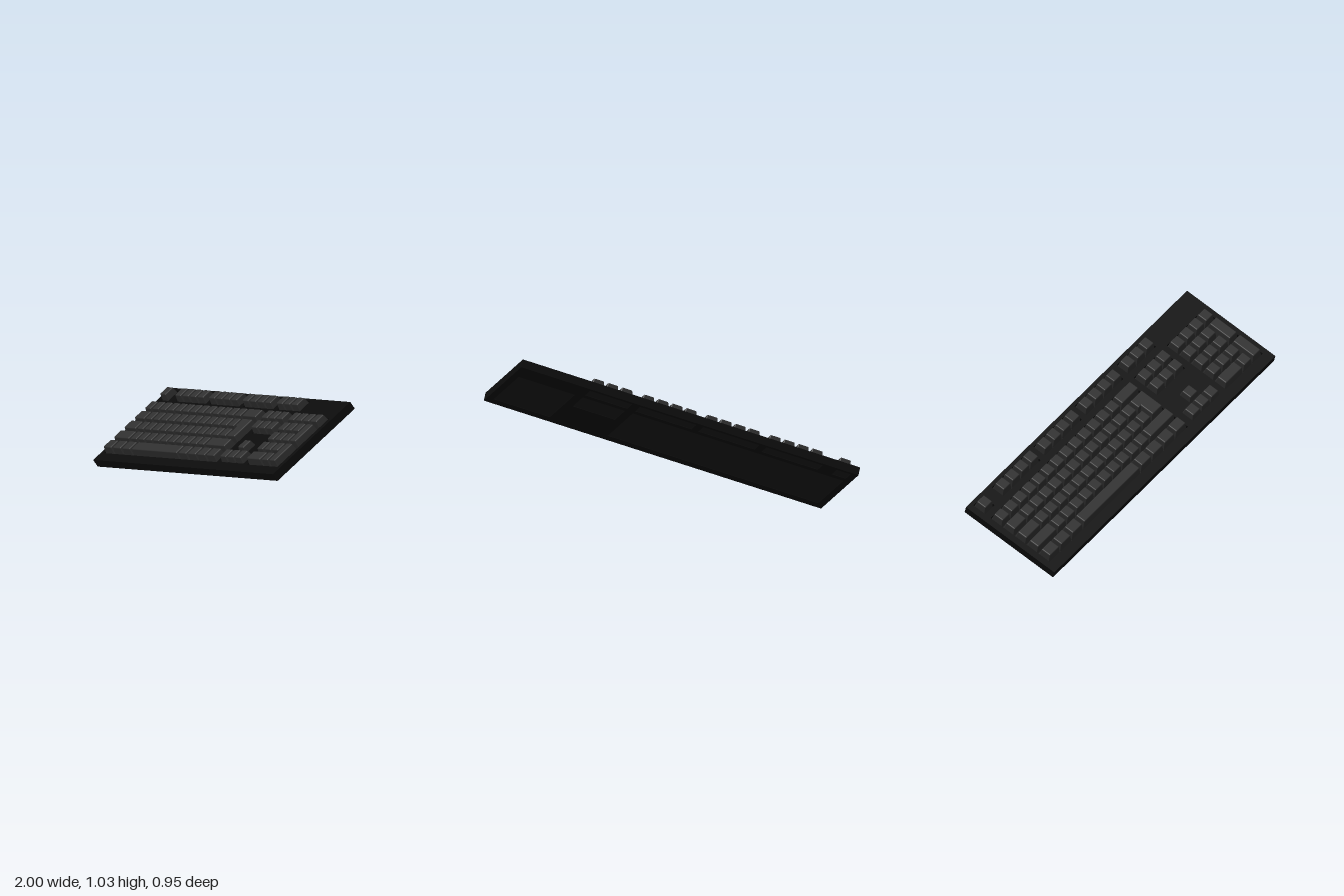
import * as THREE from 'three';
import { RoundedBoxGeometry } from 'three/addons/geometries/RoundedBoxGeometry.js';

const U = 0.0885;                          // key pitch
const LENGTH = 2.126, DEPTH = 0.66, THICK = 0.05;
const MAIN = -1.022, NAV = MAIN + 15 * U + 0.05, PAD = NAV + 3 * U + 0.05;
const FRONT = 0.265;                       // front edge of the key field
const BACK = FRONT - 5 * U;                // back edge of the number row
const FROW = BACK - 0.04 - U;              // back edge of the function row

const caseMat = new THREE.MeshStandardMaterial({ color: 0x0b0b0b });
const plateMat = new THREE.MeshStandardMaterial({ color: 0x181818 });
const keyMat = new THREE.MeshStandardMaterial({ color: 0x303030 });

// Key clusters: x, z of the back left corner, columns, rows
const clusters = [
  ['main', MAIN, BACK, 15, 5],
  ['numpad', PAD, BACK, 4, 5],
  ['navigation', NAV, BACK, 3, 2],
  ['escape', MAIN, FROW, 1, 1],
  ['functionA', MAIN + 2 * U, FROW, 4, 1],
  ['functionB', MAIN + 6.5 * U, FROW, 4, 1],
  ['functionC', MAIN + 11 * U, FROW, 4, 1],
  ['system', NAV, FROW, 3, 1],
];

function rectangle(PathType, x0, z0, x1, z1) {
  const p = new PathType();
  p.moveTo(x0, -z1);
  p.lineTo(x1, -z1);
  p.lineTo(x1, -z0);
  p.lineTo(x0, -z0);
  p.closePath();
  return p;
}

// Tapered, softly rounded keycap, cached by size
const capCache = new Map();
function capGeometry(w, d, h) {
  const id = [w, d, h].join();
  if (capCache.has(id)) return capCache.get(id);
  const X = w * U - 0.005, Z = d * U - 0.005;
  const g = new RoundedBoxGeometry(X, h, Z, 2, 0.007);
  const p = g.attributes.position;
  for (let i = 0; i < p.count; i++) {
    const t = p.getY(i) / h + 0.5;
    p.setX(i, p.getX(i) * (1 - 0.02 * t / X));
    p.setZ(i, p.getZ(i) * (1 - 0.02 * t / Z) - 0.002 * t);
  }
  g.translate(0, h / 2, 0);
  capCache.set(id, g);
  return g;
}

export function createModel() {
  const model = new THREE.Group();
  model.name = 'keyboard';
  const board = new THREE.Group();
  board.name = 'tiltedBoard';
  model.add(board);

  // Case frame with an opening for each cluster
  const outline = rectangle(THREE.Shape, -LENGTH / 2, -DEPTH / 2, LENGTH / 2, DEPTH / 2);
  for (const [, x, z, w, d] of clusters) {
    outline.holes.push(rectangle(THREE.Path, x, z, x + w * U, z + d * U));
  }
  const caseGeo = new THREE.ExtrudeGeometry(outline, { depth: THICK, bevelEnabled: false });
  caseGeo.rotateX(-Math.PI / 2);
  caseGeo.translate(0, -THICK / 2, 0);
  const frame = new THREE.Mesh(caseGeo, caseMat);
  frame.name = 'caseFrame';
  board.add(frame);

  // Plates closing the openings from below
  for (const [name, x, z, w, d] of clusters) {
    const plate = new THREE.Mesh(new THREE.BoxGeometry(w * U, 0.025, d * U), plateMat);
    plate.name = name + 'Plate';
    plate.position.set(x + w * U / 2, -0.009, z + d * U / 2);
    board.add(plate);
  }

  // Keys: u, v are measured in key units from a cluster corner
  const keys = new THREE.Group();
  keys.name = 'keys';
  board.add(keys);
  function key(name, x, z, u, v, w = 1, d = 1, base = 0.004, top = 0.064) {
    const cap = new THREE.Mesh(capGeometry(w, d, top - base), keyMat);
    cap.name = name;
    cap.position.set(x + (u + w / 2) * U, base, z + (v + d / 2) * U);
    keys.add(cap);
  }
  function row(name, x, z, v, widths, u = 0) {
    for (const w of widths) {
      key(name, x, z, u, v, w);
      u += w;
    }
  }
  const ones = (n) => Array(n).fill(1);

  // Function row
  for (const [name, x, z, w] of clusters.slice(3)) row(name + 'Key', x, z, 0, ones(w));

  // Main block, with a tall stepped enter key
  row('numberRowKey', MAIN, BACK, 0, [...ones(13), 2]);
  row('upperLetterKey', MAIN, BACK, 1, [1.5, ...ones(12)]);
  row('homeLetterKey', MAIN, BACK, 2, [1.75, ...ones(12)]);
  row('lowerLetterKey', MAIN, BACK, 3, [2.25, ...ones(10), 2.75]);
  row('bottomRowKey', MAIN, BACK, 4, [1.25, 1.25, 1.25, 6.25, 1.25, 1.25, 1.25, 1.25]);
  key('enterKey', MAIN, BACK, 13.75, 1, 1.25, 2);
  key('enterKeyStep', MAIN, BACK, 13.5, 1, 1.5, 1);

  // Navigation keys, and arrows standing on the solid case
  row('navigationKey', NAV, BACK, 0, ones(3));
  row('navigationKey', NAV, BACK, 1, ones(3));
  for (const [u, v] of [[1, 3], [0, 4], [1, 4], [2, 4]]) {
    key('arrowKey', NAV, BACK, u, v, 1, 1, 0.02);
  }

  // Number pad
  row('numpadKey', PAD, BACK, 0, ones(4));
  for (const v of [1, 2, 3]) row('numpadKey', PAD, BACK, v, ones(3));
  row('numpadKey', PAD, BACK, 4, [2, 1]);
  key('numpadPlusKey', PAD, BACK, 3, 1, 1, 2);
  key('numpadEnterKey', PAD, BACK, 3, 3, 1, 2);

  // The whole board leans forward and rises to its left end
  board.rotation.set(0.443, 0, 0.3735);
  board.position.y = 0.514;
  return model;
}
